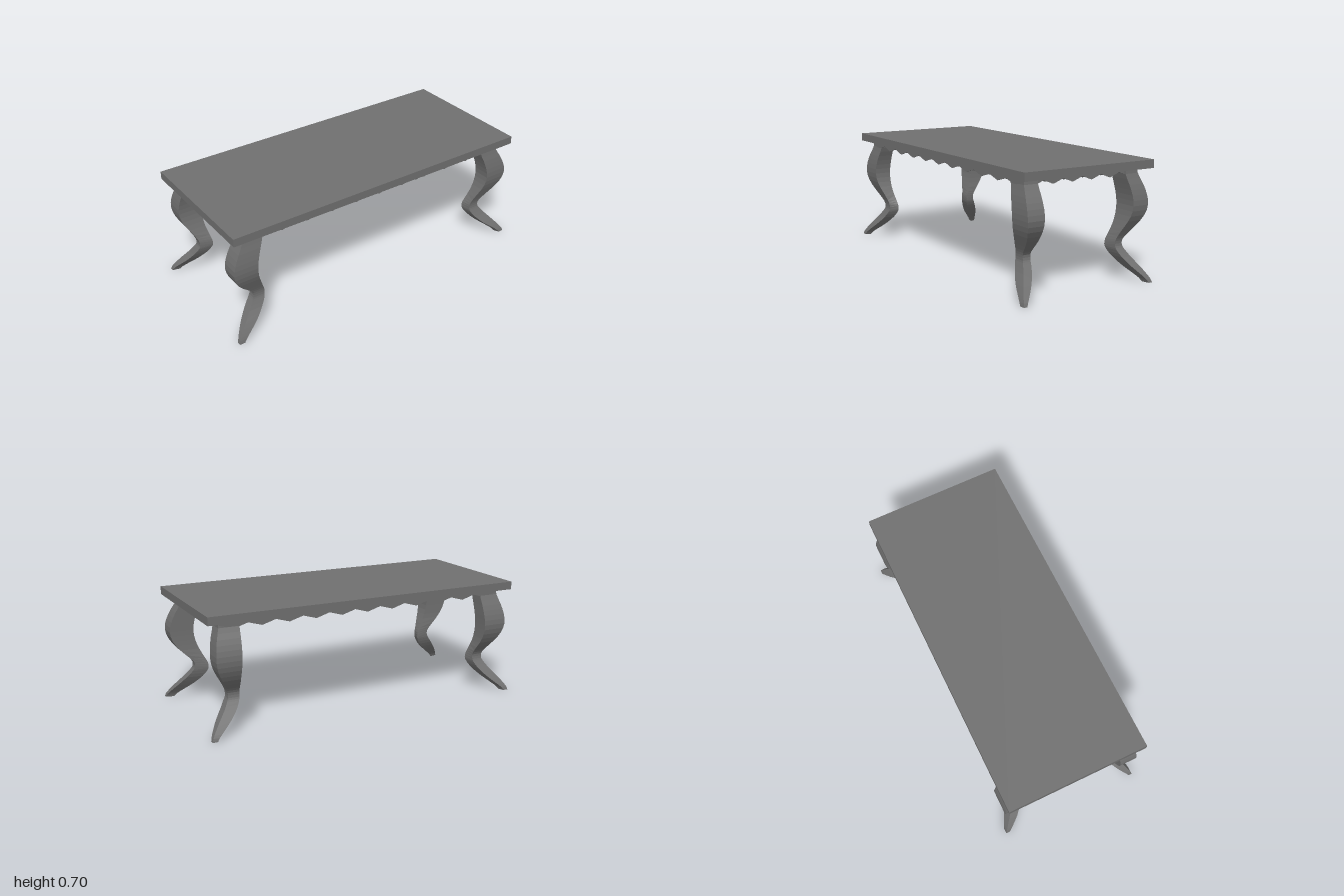
import * as THREE from 'three';

const material = new THREE.MeshStandardMaterial({ color: 0x6f6f6f, flatShading: true });

// Leg profile: [y, strong outer, strong inner, weak outer, weak inner], from foot to top
const PROFILE = [
  [0.00, 0.440, 0.405, 0.435, 0.402],
  [0.02, 0.434, 0.393, 0.430, 0.392],
  [0.05, 0.418, 0.366, 0.416, 0.367],
  [0.09, 0.394, 0.328, 0.394, 0.334],
  [0.14, 0.362, 0.291, 0.364, 0.300],
  [0.18, 0.338, 0.271, 0.345, 0.283],
  [0.20, 0.329, 0.267, 0.338, 0.279],
  [0.23, 0.327, 0.270, 0.338, 0.281],
  [0.26, 0.343, 0.281, 0.346, 0.286],
  [0.32, 0.387, 0.303, 0.371, 0.296],
  [0.38, 0.418, 0.319, 0.394, 0.299],
  [0.44, 0.430, 0.325, 0.404, 0.299],
  [0.50, 0.422, 0.319, 0.402, 0.297],
  [0.56, 0.402, 0.305, 0.393, 0.295],
  [0.62, 0.377, 0.289, 0.380, 0.293],
  [0.652, 0.375, 0.289, 0.380, 0.293],
];

// z offsets are wider than x offsets
const toZ = (v) => 0.91 + (v - 0.378) * 1.4;

// Four-cornered leg lofted through the profile; left legs bow most in z, right legs in x
function legGeometry(sx, sz) {
  const pos = [], index = [];
  const strong = new THREE.CatmullRomCurve3(PROFILE.map((p) => new THREE.Vector3(p[1], p[0], p[2])));
  const weak = new THREE.CatmullRomCurve3(PROFILE.map((p) => new THREE.Vector3(p[3], p[0], p[4])));
  const n = 30;
  for (let i = 0; i <= n; i++) {
    const a = strong.getPoint(i / n), b = weak.getPoint(i / n);
    const [px, pz] = sx < 0 ? [a, b] : [b, a];
    // from the knee down the inner corner stands a little proud
    const inset = 0.011 * THREE.MathUtils.clamp((0.3 - a.y) / 0.1, 0, 1);
    const ring = [
      [px.x, toZ(pz.x)], [px.x, toZ(pz.z + inset)],
      [px.z, toZ(pz.z)], [px.z + inset, toZ(pz.x)],
    ];
    for (const [x, z] of ring) pos.push(sx * x, a.y, sz * z);
  }
  const quad = (a, b, c, d) => (sx * sz > 0 ? index.push(a, b, c, a, c, d) : index.push(a, c, b, a, d, c));
  for (let i = 0; i < n; i++) {
    for (let j = 0; j < 4; j++) {
      const k = (j + 1) % 4;
      quad(i * 4 + j, i * 4 + k, i * 4 + 4 + k, i * 4 + 4 + j);
    }
  }
  quad(3, 2, 1, 0);
  quad(n * 4, n * 4 + 1, n * 4 + 2, n * 4 + 3);
  const g = new THREE.BufferGeometry();
  g.setAttribute('position', new THREE.Float32BufferAttribute(pos, 3));
  g.setIndex(index);
  const flat = g.toNonIndexed();
  flat.computeVertexNormals();
  return flat;
}

// Upright board with a zigzag lower edge, running along x and centred on it
const HIGH = 0.633, LOW = 0.609, PANEL_TOP = 0.652, BOARD = 0.006;
function zigzagBoard(length, teeth) {
  const shape = new THREE.Shape();
  shape.moveTo(-length / 2, PANEL_TOP);
  for (let i = 0; i <= teeth * 2; i++) {
    shape.lineTo((i / (teeth * 2) - 0.5) * length, i % 2 ? LOW : HIGH);
  }
  shape.lineTo(length / 2, PANEL_TOP);
  return new THREE.ExtrudeGeometry(shape, { depth: BOARD, bevelEnabled: false }).translate(0, 0, -BOARD / 2);
}

export function createModel() {
  const model = new THREE.Group();
  model.name = 'table';
  const add = (geometry, name, x, y, z, parent = model) => {
    const mesh = new THREE.Mesh(geometry, material);
    mesh.name = name;
    mesh.position.set(x, y, z);
    parent.add(mesh);
    return mesh;
  };

  // Table top
  add(new THREE.BoxGeometry(0.857, 0.048, 1.974), 'tableTop', 0.0025, 0.676, 0);

  // Thin panel under the top, studded with shallow pyramids
  const W = 0.758, L = 1.81, cols = 6, rows = 11, cx = 0.002;
  add(new THREE.BoxGeometry(W - BOARD, PANEL_TOP - HIGH, L - BOARD), 'underPanel', cx, (PANEL_TOP + HIGH) / 2, 0);
  const studs = new THREE.Group();
  studs.name = 'pyramidStuds';
  model.add(studs);
  const pyramid = new THREE.ConeGeometry(Math.SQRT1_2, HIGH - LOW, 4, 1, true);
  pyramid.rotateY(Math.PI / 4).rotateX(Math.PI).scale(W / cols, 1, L / rows);
  for (let i = 0; i < cols; i++) {
    for (let j = 0; j < rows; j++) {
      add(pyramid, 'stud', cx + ((i + 0.5) / cols - 0.5) * W, (HIGH + LOW) / 2, ((j + 0.5) / rows - 0.5) * L, studs);
    }
  }

  // Zigzag apron around the panel
  const endBoard = zigzagBoard(W, cols);
  const sideBoard = zigzagBoard(L, rows).rotateY(Math.PI / 2);
  for (const s of [-1, 1]) {
    add(endBoard, s > 0 ? 'frontApron' : 'backApron', cx, 0, s * (L - BOARD) / 2);
    add(sideBoard, s > 0 ? 'leftApron' : 'rightApron', cx + s * (W - BOARD) / 2, 0, 0);
  }

  // Curved legs at the four corners
  for (const sx of [-1, 1]) {
    for (const sz of [-1, 1]) {
      add(legGeometry(sx, sz), (sz > 0 ? 'front' : 'back') + (sx > 0 ? 'Left' : 'Right') + 'Leg', 0, 0, 0);
    }
  }
  return model;
}
